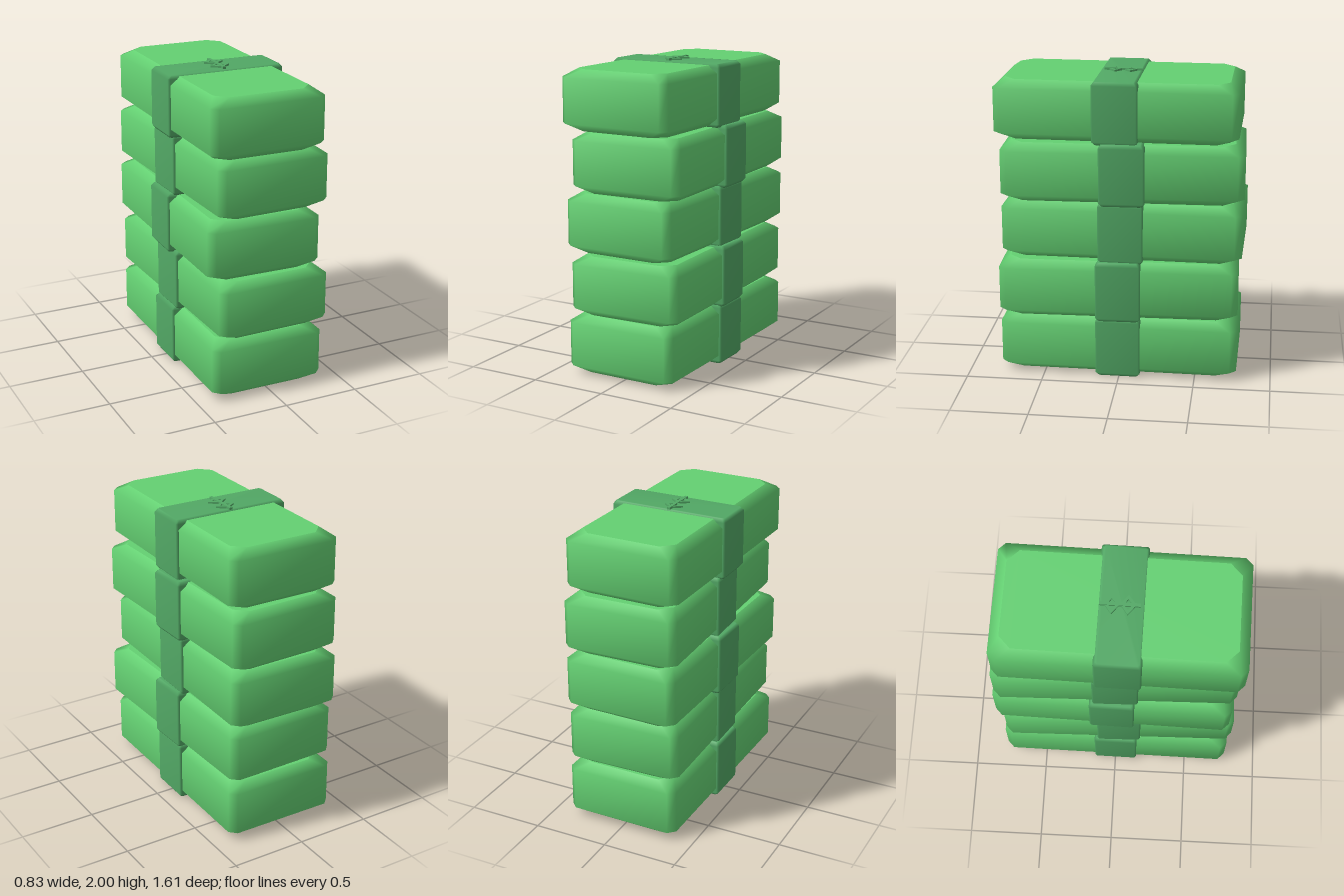
import * as THREE from 'three';

// Box with cut corners and bevelled rims, lofted from four eight-sided rings.
// Side normals are smooth; the end faces are flat unless smoothEnds is set.
function softBlock(w, h, d, inset, rise, cut, endCut, smoothEnds) {
  const pos = [], idx = [];
  const ring = (y, hx, hz, c) => {
    const x = hx - c, z = hz - c;
    for (const [px, pz] of [[hx, -z], [hx, z], [x, hz], [-x, hz], [-hx, z], [-hx, -z], [-x, -hz], [x, -hz]]) {
      pos.push(px, y, pz);
    }
  };
  const end = (y) => ring(y, w / 2 - inset, d / 2 - inset, endCut);
  const side = (y) => ring(y, w / 2, d / 2, cut);
  end(-h / 2);
  side(-h / 2 + rise);
  side(h / 2 - rise);
  end(h / 2);
  for (let r = 0; r < 3; r++) {
    for (let i = 0; i < 8; i++) {
      const a = r * 8 + i, b = r * 8 + (i + 1) % 8;
      idx.push(a, a + 8, b, b, a + 8, b + 8);
    }
  }
  let low = 0, high = 24;
  if (!smoothEnds) {
    low = 32;
    high = 40;
    end(-h / 2);
    end(h / 2);
  }
  for (let k = 1; k < 7; k++) {
    idx.push(low, low + k, low + k + 1, high, high + k + 1, high + k);
  }
  const g = new THREE.BufferGeometry();
  g.setAttribute('position', new THREE.Float32BufferAttribute(pos, 3));
  g.setIndex(idx);
  g.computeVertexNormals();
  return g;
}

export function createModel() {
  const model = new THREE.Group();
  model.name = 'bundleStack';

  const paper = new THREE.MeshStandardMaterial({ color: 0x64d072 });
  paper.name = 'paper green';
  const wrap = new THREE.MeshStandardMaterial({ color: 0x52a865 });
  wrap.name = 'band green';

  const bundleGeometry = softBlock(0.77, 0.388, 1.565, 0.065, 0.05, 0.045, 0.075, false);
  const bandGeometry = softBlock(0.8, 0.405, 0.295, 0.016, 0.022, 0.012, 0.012, true);

  const add = (parent, name, geometry, material, x, y, z) => {
    const mesh = new THREE.Mesh(geometry, material);
    mesh.name = name;
    mesh.position.set(x, y, z);
    parent.add(mesh);
    return mesh;
  };

  // Each layer: x offset, z offset, slight turn
  const layers = [
    [-0.005, 0.005, -0.01],
    [0.01, 0.015, 0.021],
    [-0.018, -0.015, -0.021],
    [0.01, -0.01, 0.021],
    [-0.018, 0.022, -0.018],
  ];
  let top;
  layers.forEach(([x, z, turn], i) => {
    top = new THREE.Group();
    top.name = `bundle${i + 1}`;
    top.position.set(x, 0.2025 + i * 0.395, z);
    top.rotation.y = turn;
    add(top, 'paperBlock', bundleGeometry, paper, 0, 0, 0);
    add(top, 'paperBand', bandGeometry, wrap, 0, 0, 0);
    model.add(top);
  });

  // Plain raised ornament on the top band: a bar crossing two open lozenges
  const seal = new THREE.Group();
  seal.name = 'bandOrnament';
  seal.position.set(0, 0.2025, -0.01);
  top.add(seal);
  add(seal, 'ornamentBar', new THREE.BoxGeometry(0.022, 0.015, 0.25), wrap, 0, 0.0075, 0);
  const lozenge = new THREE.Shape([[0.065, 0], [0, 0.05], [-0.065, 0], [0, -0.05]].map(p => new THREE.Vector2(...p)));
  lozenge.holes.push(new THREE.Path([[0.035, 0], [0, -0.027], [-0.035, 0], [0, 0.027]].map(p => new THREE.Vector2(...p))));
  const frame = new THREE.ExtrudeGeometry(lozenge, { depth: 0.012, bevelEnabled: false });
  frame.rotateX(-Math.PI / 2);
  for (const s of [-1, 1]) add(seal, 'ornamentLozenge', frame, wrap, 0, 0, s * 0.05);

  return model;
}
